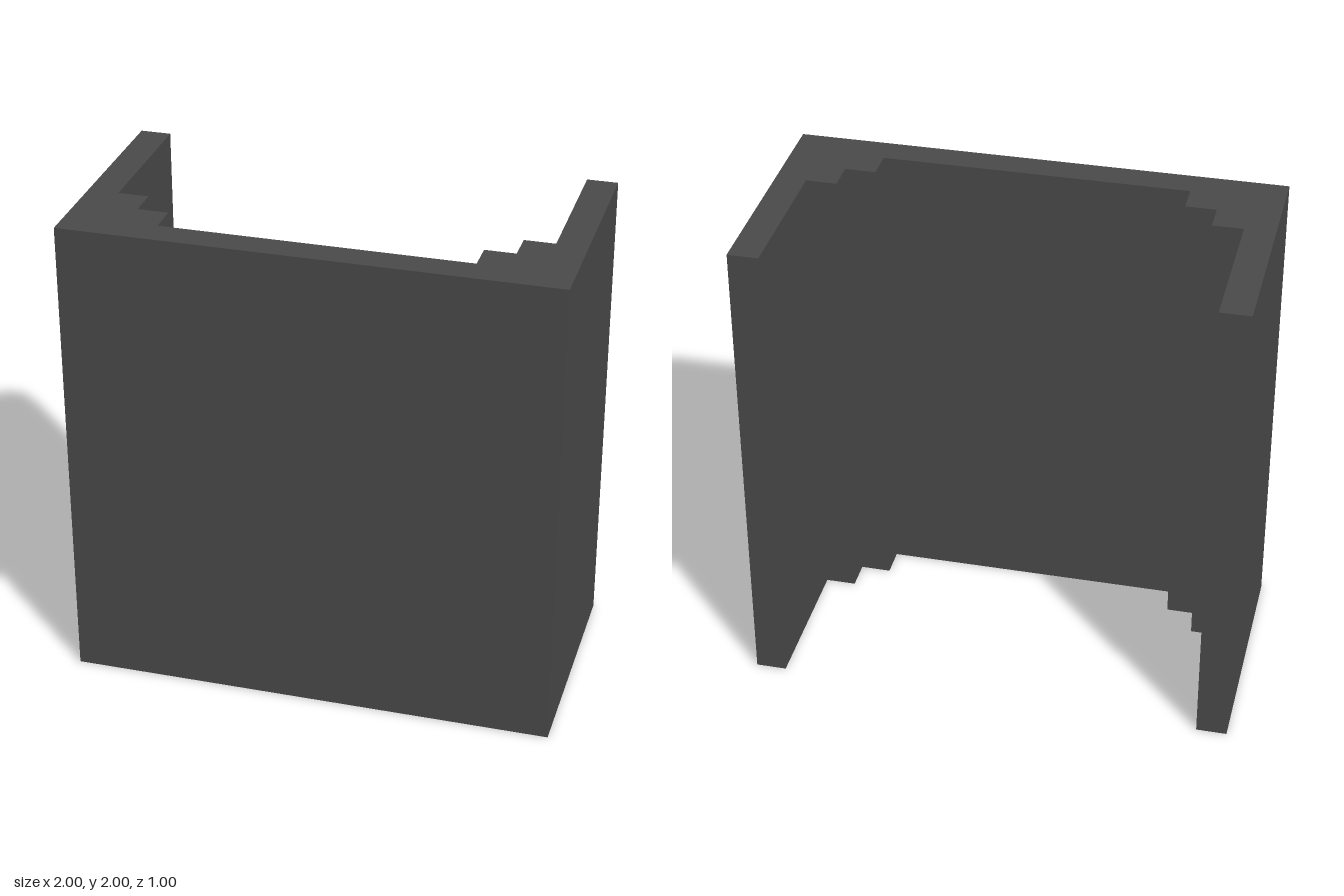
import * as THREE from 'three';

const charcoal = new THREE.MeshStandardMaterial({ color: 0x4a4a4a });
charcoal.name = 'charcoal';

export function createModel() {
  const group = new THREE.Group();
  group.name = 'steppedChannel';

  // Left half of the plan as [x, z], from the back outer corner in to the front panel
  const half = [
    [1, 0.5], [1, -0.5], [0.875, -0.5], [0.875, 0.125],
    [0.75, 0.125], [0.75, 0.25], [0.625, 0.25], [0.625, 0.375],
  ];
  const mirrored = half.map(([x, z]) => [-x, z]).reverse();
  const plan = [...half, ...mirrored].map(([x, z]) => new THREE.Vector2(x, -z));

  // Extrude the U-shaped plan upwards
  const geometry = new THREE.ExtrudeGeometry(new THREE.Shape(plan), { depth: 2, bevelEnabled: false });
  geometry.rotateX(-Math.PI / 2);

  const wall = new THREE.Mesh(geometry, charcoal);
  wall.name = 'steppedWall';
  group.add(wall);
  return group;
}
